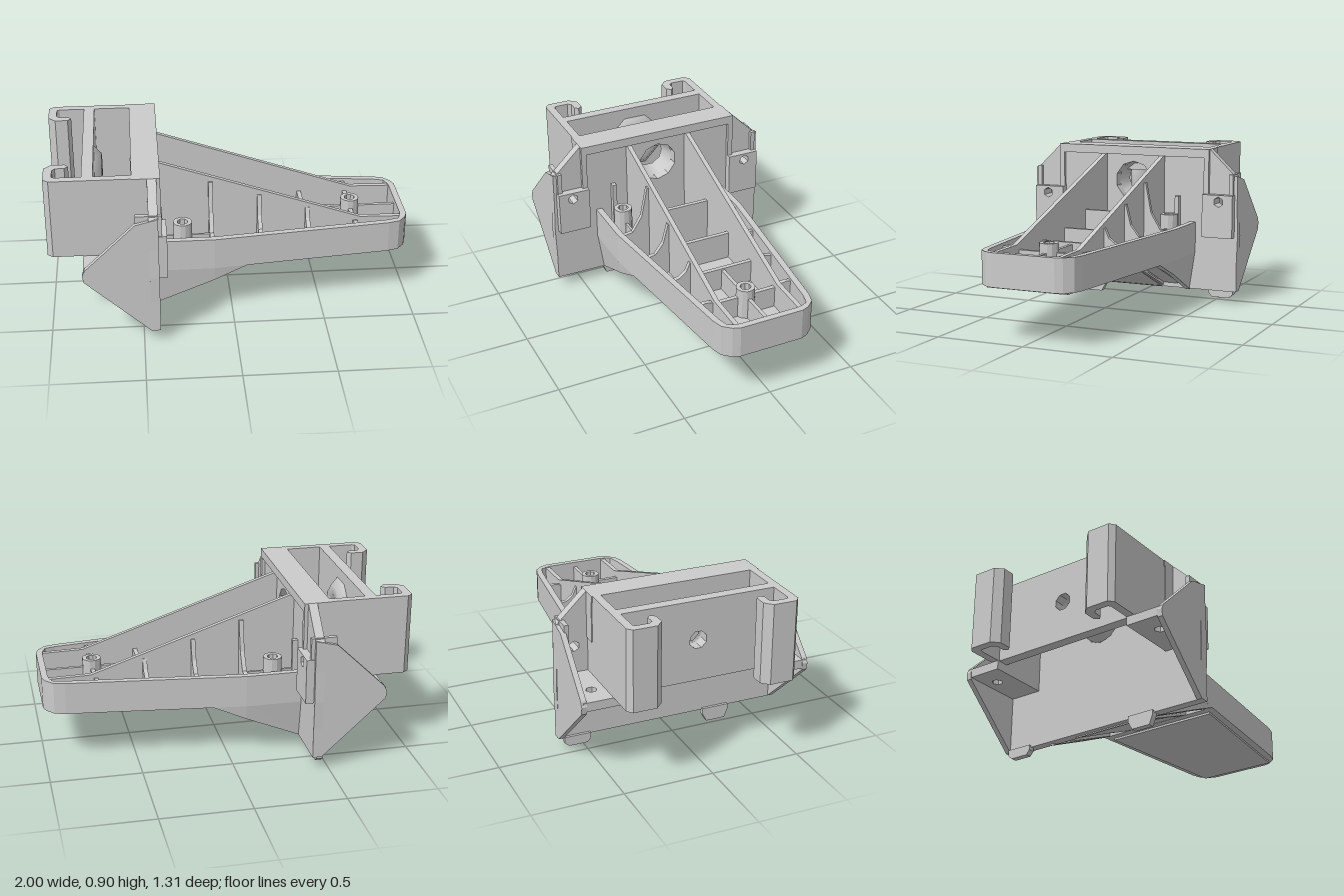
import * as THREE from 'three';
import { mergeGeometries } from 'three/addons/utils/BufferGeometryUtils.js';

const mat = new THREE.MeshStandardMaterial({ color: 0xcccccc, side: THREE.DoubleSide });

const ngon = (cx, cy, r, n) => Array.from({ length: n }, (_, i) => {
  const a = (i + 0.5) / n * Math.PI * 2;
  return [cx + r * Math.cos(a), cy + r * Math.sin(a)];
});

// Prism along an axis; outlines are [z,y] for 'x', [x,z] for 'y', [x,y] for 'z'
function prism(axis, pts, from, to, holes = []) {
  const map = ([a, b]) => axis === 'x' ? new THREE.Vector2(-a, b)
    : axis === 'y' ? new THREE.Vector2(a, -b) : new THREE.Vector2(a, b);
  const shape = new THREE.Shape(pts.map(map));
  holes.forEach(h => shape.holes.push(new THREE.Path(h.map(map))));
  const g = new THREE.ExtrudeGeometry(shape, { depth: to - from, bevelEnabled: false });
  g.translate(0, 0, from);
  if (axis === 'x') g.rotateY(Math.PI / 2);
  if (axis === 'y') g.rotateX(-Math.PI / 2);
  return g;
}

const box = (x0, x1, y0, y1, z0, z1) => new THREE.BoxGeometry(x1 - x0, y1 - y0, z1 - z0)
  .translate((x0 + x1) / 2, (y0 + y1) / 2, (z0 + z1) / 2);

// Underside height, top line of the tall ribs and half width of the arm
const under = x => 0.29 - Math.max(0, 0.08 - x) * 0.45;
const ribTop = x => Math.max(0.47, 0.85 - (x + 0.39) * 0.34);
const halfWidth = x => x < -0.1 ? 0.395 : 0.395 - (x + 0.1) * 0.115;

// Drop vertices below the limit along the sloping underside, drawing them inward by taper
function followUnderside(g, limit, taper = 0) {
  const p = g.attributes.position;
  for (let i = 0; i < p.count; i++) {
    if (p.getY(i) >= limit) continue;
    const drop = 0.29 - under(p.getX(i));
    p.setY(i, p.getY(i) - drop);
    p.setZ(i, p.getZ(i) * (1 - taper * drop));
  }
  g.computeVertexNormals();
  return g;
}

export function createModel() {
  const model = new THREE.Group();
  const add = (name, g) => {
    const m = new THREE.Mesh(g, mat);
    m.name = name;
    model.add(m);
  };

  // Upright plate with a large central opening and two bolt holes
  const half = [[0.645, 0.07], [0.655, 0.4], [0.645, 0.74], [0.48, 0.9]];
  const outline = [...half, ...half.map(([z, y]) => [-z, y]).reverse()];
  add('uprightPlate', prism('x', outline, -0.46, -0.41,
    [ngon(0, 0.695, 0.115, 10), ngon(0.55, 0.6, 0.03, 6), ngon(-0.55, 0.6, 0.03, 6)]));
  add('plateTopFlange', box(-0.54, -0.44, 0.865, 0.9, -0.48, 0.48));
  add('plateTopRim', box(-0.42, -0.39, 0.85, 0.9, -0.48, 0.48));
  add('plateBackRim', box(-0.54, -0.5, 0.75, 0.9, -0.47, 0.47));

  // Conical recess around the opening
  const cone = new THREE.CylinderGeometry(0.115, 0.085, 0.09, 10, 1, true);
  add('openingCollar', cone.rotateZ(-Math.PI / 2).translate(-0.5, 0.695, 0));

  // Rear cross wall with a tapered, drilled boss
  add('rearWall', prism('x', [[-0.44, 0.45], [0.44, 0.45], [0.44, 0.9], [-0.44, 0.9]],
    -0.8, -0.74, [ngon(0, 0.68, 0.05, 8)]));
  const pad = new THREE.LatheGeometry([[0.17, 0], [0.13, 0.04], [0.05, 0.04], [0.05, 0]]
    .map(p => new THREE.Vector2(...p)), 8);
  add('rearBoss', pad.rotateY(Math.PI / 8).rotateZ(-Math.PI / 2).translate(-0.74, 0.68, 0));

  for (const s of [1, -1]) {
    const flip = pts => pts.map(([x, z]) => [x, z * s]);
    const side = (name, x0, x1, y0, y1, z0, z1) =>
      add(name, box(x0, x1, y0, y1, Math.min(z0 * s, z1 * s), Math.max(z0 * s, z1 * s)));

    // Hooked rear arm
    add('hookArm', prism('y', flip([[-0.45, 0.475], [-0.97, 0.475], [-1, 0.45], [-1, 0.32],
      [-0.96, 0.28], [-0.89, 0.28], [-0.87, 0.305], [-0.89, 0.325], [-0.94, 0.325],
      [-0.955, 0.345], [-0.955, 0.42], [-0.94, 0.43], [-0.45, 0.43]]), 0.45, 0.9));

    // Diamond shaped wing and its drilled ledge
    add('wing', prism('z', [[-0.46, 0.07], [-0.41, 0.07], [-0.41, 0.75], [-0.53, 0.72],
      [-0.8, 0.46], [-0.815, 0.43], [-0.81, 0.39]], s > 0 ? 0.62 : -0.65, s > 0 ? 0.65 : -0.62));
    add('wingLedge', prism('y', flip([[-0.81, 0.43], [-0.43, 0.43], [-0.43, 0.64], [-0.81, 0.64]]),
      0.4, 0.45, [ngon(-0.68, 0.545 * s, 0.03, 6)]));

    // Bolt lug with guide rails above
    add('boltLug', prism('x', [[0.45, 0.39], [0.635, 0.39], [0.635, 0.64], [0.45, 0.64]]
      .map(([z, y]) => [z * s, y]), -0.42, -0.365, [ngon(0.55 * s, 0.6, 0.03, 6)]));
    side('guideRail', -0.53, -0.39, 0.64, 0.89, 0.45, 0.48);
    side('guideRailOuter', -0.53, -0.39, 0.64, 0.76, 0.605, 0.63);

    // Tall longitudinal rib
    add('tallRib', prism('z', [[-0.42, under(-0.42) + 0.02], [0.08, 0.305], [0.96, 0.305],
      [0.96, 0.465], [0.73, 0.47], [-0.39, 0.85], [-0.42, 0.86]], s * 0.185 - 0.013, s * 0.185 + 0.013));

    // Curved gussets outside the tall rib
    for (const x of [-0.11, 0.16, 0.43, 0.7]) {
      const w = halfWidth(x) - 0.02, top = ribTop(x) - 0.03, d = w - 0.185;
      const y0 = under(x) + 0.035;
      add('gusset', prism('x', [[0.185, y0], [w - 0.01, y0], [w, 0.45], [0.185 + d * 0.6, 0.46],
        [0.185 + d * 0.3, 0.46 + (top - 0.46) * 0.35], [0.185 + d * 0.12, top], [0.185, top]]
        .map(([z, y]) => [z * s, y]), x - 0.012, x + 0.012));
    }

    // Stiffener beside the screw boss, and ribs under the slope
    side('plateStiffener', -0.42, -0.38, 0.2, 0.62, 0.275, 0.3);
    for (const z of [0.185, 0.345])
      add('underRib', prism('z', [[-0.43, 0.07], [0.08, 0.29], [0.08, 0.32], [-0.43, 0.11]],
        s * z - 0.012, s * z + 0.012));
    addBoss(-0.27, 0.285 * s, 0.53);
    for (const [x0, x1] of [[-0.41, -0.31], [-0.23, -0.12]])
      add('bossWeb', followUnderside(box(x0, x1, 0.33, 0.45, s * 0.285 - 0.007, s * 0.285 + 0.007), 0.4));
  }

  // Hollow screw boss standing on the floor
  function addBoss(x, z, top) {
    add('screwBoss', followUnderside(
      prism('y', ngon(x, z, 0.052, 12), 0.315, top, [ngon(x, z, 0.03, 8)]), 0.4));
  }
  addBoss(0.7, 0, 0.49);

  // Tray wall: upright ring with a tapered skirt under its rear half
  const plan = t => {
    const h = [[-0.43, 0.395 - t], [-0.1, 0.395 - t], [0.08, halfWidth(0.08) - t],
      [0.88, 0.282 - t], [0.94, 0.265 - t], [0.98 - t * 0.8, 0.22 - t * 0.6], [0.995 - t, 0.18 - t * 0.3]];
    return [...h, ...h.map(([x, z]) => [x, -z]).reverse()];
  };
  const outer = plan(0), inner = plan(0.035);
  const wall = [], skirt = [];
  for (let i = 0; i < outer.length - 1; i++) {
    const quad = [outer[i], outer[i + 1], inner[i + 1], inner[i]];
    wall.push(prism('y', quad, 0.29, 0.47));
    if (i < 2 || i > outer.length - 4)
      skirt.push(followUnderside(prism('y', quad, 0.29, 0.3), 0.295, 0.4));
  }
  add('trayWall', mergeGeometries(wall));
  add('traySkirt', mergeGeometries(skirt));

  // Floor: flat front section, sloped rear section with a lower centre strip
  add('trayFloor', prism('y', plan(0.01).slice(2, -2), 0.29, 0.32));
  const slope = [[-0.43, 0.385], [-0.1, 0.385], [0.08, 0.365], [0.08, -0.365], [-0.1, -0.385], [-0.43, -0.385]];
  add('slopedFloor', followUnderside(prism('y', slope, 0.315, 0.34), 0.4, 0.4));
  add('slopedCentre', followUnderside(prism('y',
    [[-0.43, 0.18], [0.08, 0.18], [0.08, -0.18], [-0.43, -0.18]], 0.292, 0.325), 0.4));
  add('bottomPad', prism('y', [[0.12, 0.33], [0.95, 0.23], [0.95, -0.23], [0.12, -0.33]], 0.278, 0.3));

  // Cross ribs between the tall ribs, and ribs meeting at the front boss
  for (const [x, top] of [[-0.11, 0.55], [0.16, 0.48], [0.43, 0.45]])
    add('crossRib', box(x - 0.012, x + 0.012, under(x) + 0.02, top, -0.185, 0.185));
  for (const [a, b] of [[-0.185, -0.045], [0.045, 0.185]])
    add('crossRib', box(0.688, 0.712, 0.3, 0.44, a, b));
  for (const [a, b] of [[0.43, 0.655], [0.745, 0.97]])
    add('centreRib', box(a, b, 0.3, 0.44, -0.01, 0.01));

  // Locating feet at the bottom edge
  const foot = (z0, z1, y) => add('foot', prism('x',
    [[z0, 0.08], [z0, 0.045], [z0 + 0.025, y], [z1 - 0.02, y], [z1, 0.05], [z1, 0.08]], -0.475, -0.44));
  foot(0.2, 0.355, 0);
  foot(-0.62, -0.47, 0.025);

  return model;
}
